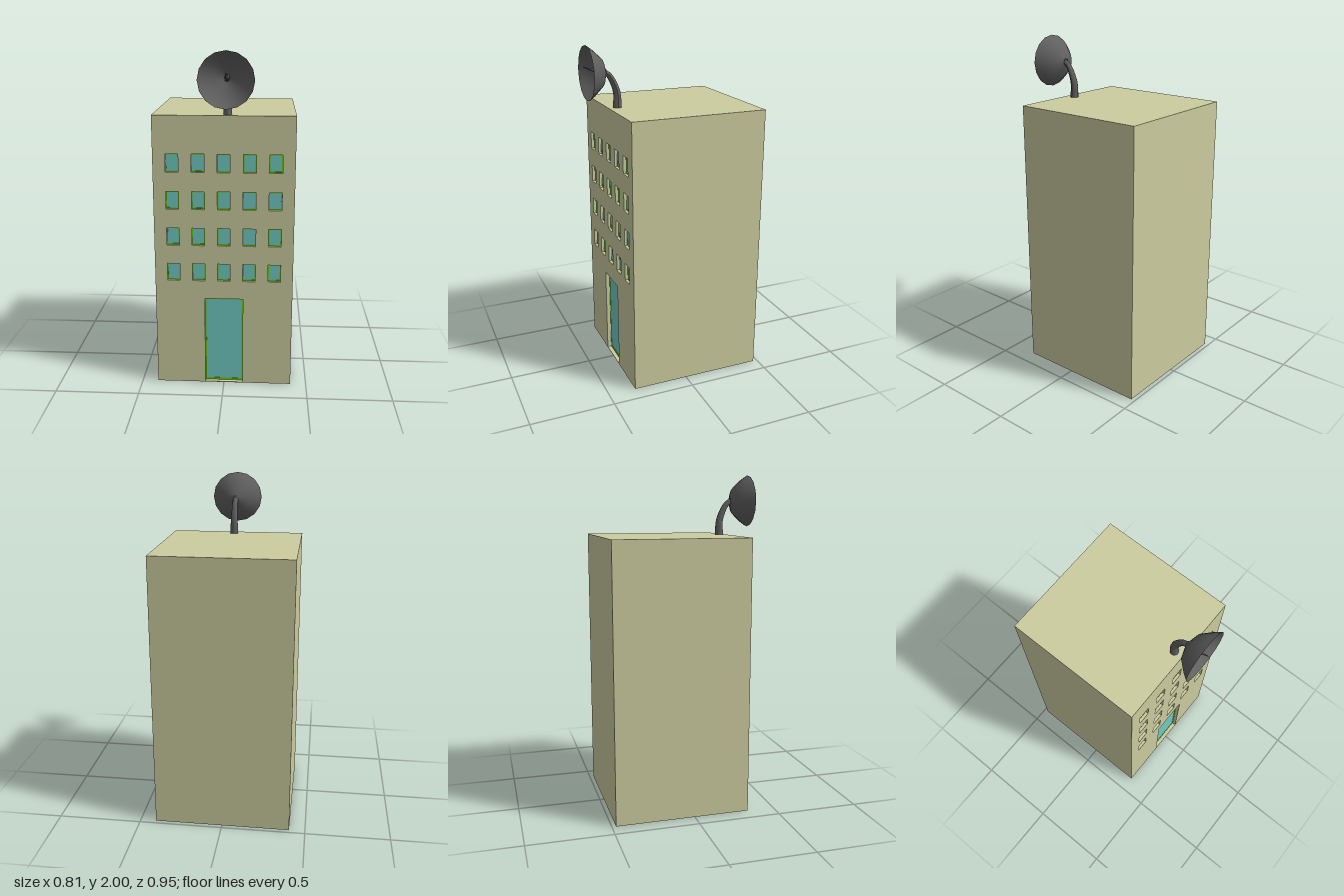
import * as THREE from 'three';

const mat = (color, side = THREE.FrontSide) => new THREE.MeshStandardMaterial({ color, side });
const wallMat = mat(0xcccca0);
const frameMat = mat(0x66cc00);
const glassMat = mat(0x70ccc6);
const metalMat = mat(0x606060, THREE.DoubleSide);

const FRONT = 0.335, BACK = -0.475, HALF = 0.405, HEIGHT = 1.64, PLATE = 0.03;

function rect(Type, x0, y0, x1, y1) {
  const r = new Type();
  r.moveTo(x0, y0);
  r.lineTo(x1, y0);
  r.lineTo(x1, y1);
  r.lineTo(x0, y1);
  r.closePath();
  return r;
}

function add(parent, name, geometry, material, x = 0, y = 0, z = 0) {
  const m = new THREE.Mesh(geometry, material);
  m.name = name;
  m.position.set(x, y, z);
  parent.add(m);
  return m;
}

// Green border and glass pane set back into an opening
function addOpening(parent, name, o) {
  const g = new THREE.Group();
  g.name = name;
  const { x0, y0, x1, y1, border, top, recess } = o;
  const shape = rect(THREE.Shape, x0, y0, x1, y1);
  shape.holes.push(rect(THREE.Path, x0 + border, y0 + top, x1 - border, y1 - top));
  add(g, name + 'Frame', new THREE.ExtrudeGeometry(shape, { depth: 0.004, bevelEnabled: false }),
    frameMat, 0, 0, FRONT - recess);
  add(g, name + 'Glass', new THREE.PlaneGeometry(x1 - x0, y1 - y0), glassMat,
    (x0 + x1) / 2, (y0 + y1) / 2, FRONT - recess + 0.002);
  parent.add(g);
}

// Round tube along a curve whose radius shrinks towards the end
function taperedTube(curve, segments, sides, r0, r1) {
  const geo = new THREE.TubeGeometry(curve, segments, 1, sides, false);
  const pos = geo.attributes.position, p = new THREE.Vector3();
  for (let i = 0; i <= segments; i++) {
    const c = curve.getPointAt(i / segments);
    const r = THREE.MathUtils.lerp(r0, r1, i / segments);
    for (let j = 0; j <= sides; j++) {
      const k = i * (sides + 1) + j;
      p.fromBufferAttribute(pos, k).sub(c).multiplyScalar(r).add(c);
      pos.setXYZ(k, p.x, p.y, p.z);
    }
  }
  geo.computeVertexNormals();
  return geo;
}

export function createModel() {
  const model = new THREE.Group();
  model.name = 'building';

  // Main block behind the facade
  const depth = FRONT - PLATE - BACK;
  add(model, 'block', new THREE.BoxGeometry(HALF * 2, HEIGHT, depth), wallMat,
    0, HEIGHT / 2, BACK + depth / 2);

  // Door and window openings
  const door = { x0: -0.113, y0: 0.004, x1: 0.113, y1: 0.55, border: 0.007, top: 0.013, recess: 0.028 };
  const windows = [];
  for (let row = 0; row < 4; row++) {
    for (let col = 0; col < 5; col++) {
      const x = (col - 2) * 0.148, y = 0.715 + row * 0.218;
      windows.push({ x0: x - 0.037, y0: y - 0.053, x1: x + 0.037, y1: y + 0.053,
        border: 0.005, top: 0.007, recess: 0.02 });
    }
  }

  // Facade plate pierced by the openings
  const facade = rect(THREE.Shape, -HALF, 0, HALF, HEIGHT);
  for (const o of [door, ...windows]) facade.holes.push(rect(THREE.Path, o.x0, o.y0, o.x1, o.y1));
  add(model, 'facade', new THREE.ExtrudeGeometry(facade, { depth: PLATE, bevelEnabled: false }),
    wallMat, 0, 0, FRONT - PLATE);
  addOpening(model, 'door', door);
  windows.forEach((w) => addOpening(model, 'window', w));

  // Rooftop satellite dish, offset a little from the middle
  const antenna = new THREE.Group();
  antenna.name = 'satelliteDish';
  antenna.position.x = 0.02;
  model.add(antenna);

  // Bowl opening forward
  const profile = [[0, 0], [0.08, 0.028], [0.132, 0.084], [0.155, 0.117]]
    .map(([r, h]) => new THREE.Vector2(r, h));
  const bowl = add(antenna, 'bowl', new THREE.LatheGeometry(profile, 16), metalMat, 0, 1.845, 0.342);
  bowl.rotation.x = Math.PI / 2;

  // Curved mast from the roof to the back of the bowl
  const mast = new THREE.CatmullRomCurve3([
    [0, 1.635, 0.281], [0, 1.72, 0.28], [0, 1.79, 0.303], [0, 1.83, 0.328], [0, 1.845, 0.35],
  ].map((p) => new THREE.Vector3(...p)));
  add(antenna, 'mast', taperedTube(mast, 10, 10, 0.025, 0.015), metalMat);

  // Thorn-shaped receiver inside the bowl
  const feed = new THREE.CatmullRomCurve3([
    [0, 1.85, 0.345], [0, 1.855, 0.39], [0, 1.866, 0.435], [0, 1.883, 0.475],
  ].map((p) => new THREE.Vector3(...p)));
  add(antenna, 'receiver', taperedTube(feed, 8, 8, 0.016, 0.002), metalMat);

  return model;
}
